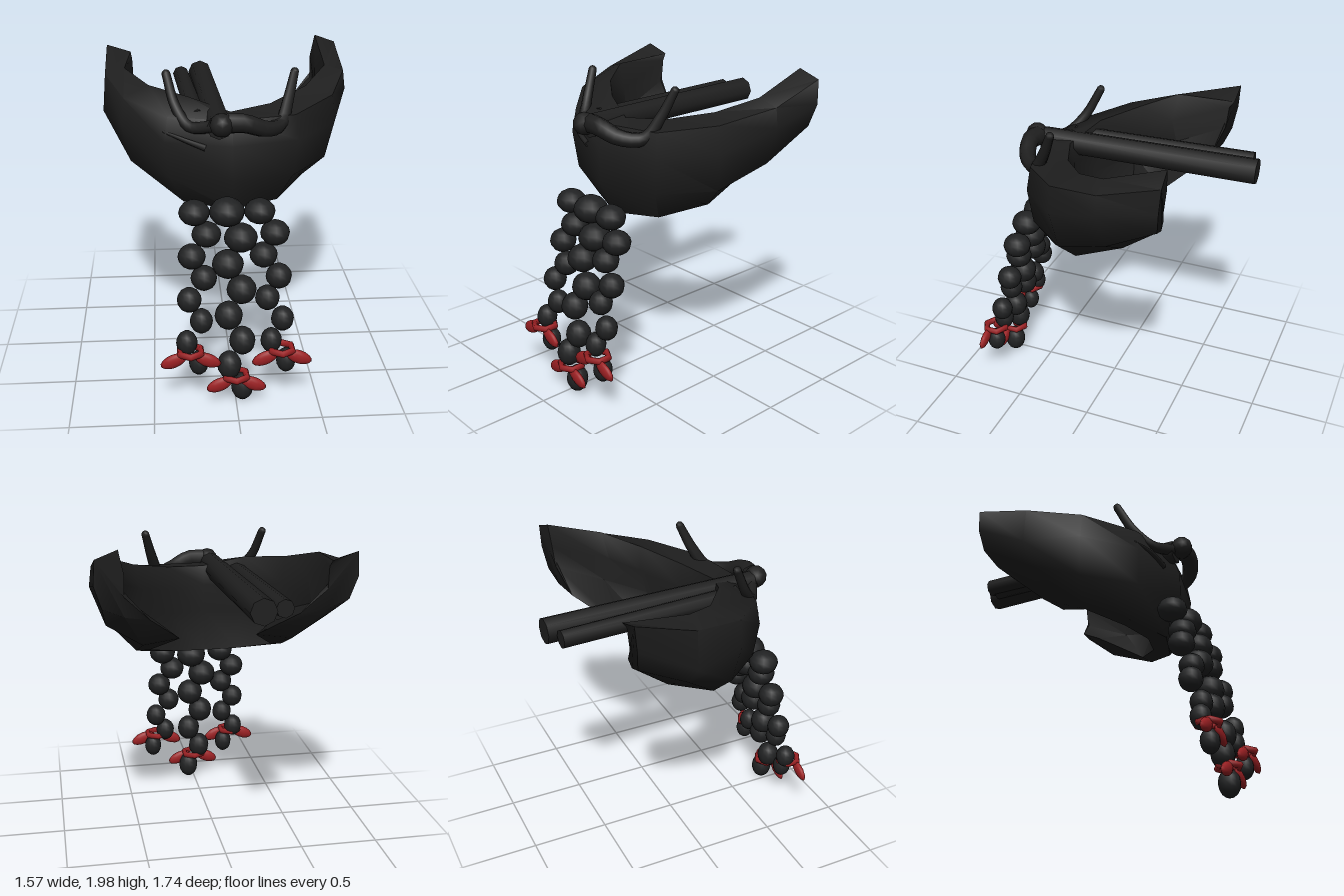
import * as THREE from 'three';
import { toCreasedNormals } from 'three/addons/utils/BufferGeometryUtils.js';

export function createModel() {
  const model = new THREE.Group();
  const cloth = new THREE.MeshStandardMaterial({ color: 0x1f1f1f, side: THREE.DoubleSide });
  cloth.name = 'black cloth';
  const beadMat = new THREE.MeshStandardMaterial({ color: 0x212223 });
  beadMat.name = 'charcoal beads';
  const red = new THREE.MeshStandardMaterial({ color: 0x9b2023 });
  red.name = 'red ribbon';
  const V = (p) => new THREE.Vector3(...p);

  function add(name, geometry, material, parent = model) {
    const mesh = new THREE.Mesh(geometry, material);
    mesh.name = name;
    parent.add(mesh);
    return mesh;
  }

  // Joins closed cross-sections into one capped skin
  function loft(rings) {
    const n = rings[0].length;
    const index = [];
    for (let i = 0; i < rings.length - 1; i++) {
      for (let j = 0; j < n; j++) {
        const k = (j + 1) % n;
        const a = i * n + j, b = i * n + k, c = b + n, d = a + n;
        index.push(a, b, c, a, c, d);
      }
    }
    const last = (rings.length - 1) * n;
    for (let j = 1; j < n - 1; j++) {
      index.push(0, j + 1, j, last, last + j, last + j + 1);
    }
    const g = new THREE.BufferGeometry();
    g.setAttribute('position', new THREE.Float32BufferAttribute(rings.flat(2), 3));
    g.setIndex(index);
    return toCreasedNormals(g, 1.15);
  }

  // Crescent wrap: each section runs outer top, down, under, up the inside groove and over the rolled rim
  const front = [[0, 1.71, 0.46], [0, 1.57, 0.51], [0, 1.35, 0.51], [0, 1.13, 0.4],
    [0, 1.15, 0.27], [0, 1.42, 0.3], [0, 1.6, 0.27], [0, 1.72, 0.3]];
  const arm = [
    [[0.38, 1.72, 0.39], [0.4, 1.57, 0.41], [0.37, 1.34, 0.39], [0.29, 1.15, 0.29],
      [0.2, 1.17, 0.21], [0.25, 1.42, 0.23], [0.22, 1.6, 0.17], [0.25, 1.74, 0.2]],
    [[0.64, 1.77, 0.14], [0.66, 1.6, 0.14], [0.61, 1.36, 0.11], [0.48, 1.23, 0.06],
      [0.4, 1.24, 0.03], [0.5, 1.46, 0.06], [0.45, 1.65, 0.0], [0.49, 1.8, 0.02]],
    [[0.765, 1.84, -0.2], [0.78, 1.72, -0.2], [0.69, 1.48, -0.22], [0.47, 1.35, -0.24],
      [0.24, 1.38, -0.23], [0.6, 1.56, -0.2], [0.58, 1.72, -0.17], [0.64, 1.88, -0.19]],
    [[0.765, 1.95, -0.57], [0.775, 1.8, -0.56], [0.73, 1.66, -0.54], [0.6, 1.6, -0.52],
      [0.45, 1.57, -0.48], [0.6, 1.72, -0.53], [0.6, 1.86, -0.545], [0.63, 2.0, -0.555]],
  ];
  const mirrored = arm.map((ring) => ring.map(([x, y, z]) => [-x, y, z])).reverse();
  // The right arm has a lower inner tip and a fuller side
  mirrored[0][7] = [-0.61, 1.9, -0.575];
  mirrored[1][1] = [-0.785, 1.6, -0.2];
  mirrored[2][7][1] = 1.82;
  mirrored[3][7][1] = 1.79;
  add('wrap', loft([...mirrored, front, ...arm]), cloth);

  // Tapered tubes for the knotted cord
  function taperedTube(name, points, r0, r1) {
    const curve = new THREE.CatmullRomCurve3(points.map(V));
    const segs = 16, sides = 8;
    const g = new THREE.TubeGeometry(curve, segs, 1, sides);
    const pos = g.attributes.position;
    for (let i = 0; i < pos.count; i++) {
      const t = Math.floor(i / (sides + 1)) / segs;
      const c = curve.getPointAt(t);
      const p = new THREE.Vector3().fromBufferAttribute(pos, i).sub(c);
      p.multiplyScalar(THREE.MathUtils.lerp(r0, r1, t)).add(c);
      pos.setXYZ(i, p.x, p.y, p.z);
    }
    add(name, g, cloth);
    const tip = add(name + 'Tip', new THREE.SphereGeometry(r1, 8, 6), cloth);
    tip.position.copy(V(points.at(-1)));
  }
  taperedTube('leftCord', [[-0.04, 1.72, 0.54], [0.06, 1.72, 0.55], [0.19, 1.67, 0.5],
    [0.29, 1.67, 0.4], [0.34, 1.79, 0.32], [0.385, 1.945, 0.25]], 0.062, 0.026);
  taperedTube('rightCord', [[-0.07, 1.71, 0.53], [-0.16, 1.68, 0.48], [-0.25, 1.67, 0.43],
    [-0.33, 1.77, 0.34], [-0.38, 1.945, 0.25]], 0.04, 0.026);
  taperedTube('fold', [[-0.16, 1.55, 0.47], [-0.27, 1.59, 0.45], [-0.4, 1.63, 0.39]], 0.02, 0.008);

  const knot = add('knot', new THREE.IcosahedronGeometry(0.072, 1), cloth);
  knot.position.set(-0.07, 1.715, 0.56);

  // Long ties running out behind
  function bar(name, from, to, rBack, rFront) {
    const a = V(from), b = V(to), dir = b.clone().sub(a);
    const g = toCreasedNormals(new THREE.CylinderGeometry(rFront, rBack, dir.length(), 8), 0.9);
    const mesh = add(name, g, cloth);
    mesh.position.copy(a).add(b).multiplyScalar(0.5);
    mesh.quaternion.setFromUnitVectors(new THREE.Vector3(0, 1, 0), dir.normalize());
  }
  bar('longTie', [-0.135, 1.685, -0.865], [-0.08, 1.69, 0.52], 0.08, 0.075);
  bar('shortTie', [-0.27, 1.685, -0.81], [-0.2, 1.69, 0.35], 0.055, 0.06);
  bar('innerTie', [-0.235, 1.66, -0.78], [-0.16, 1.67, 0.35], 0.045, 0.045);

  // Three zigzag bead strands, each ending in a bow
  const strandNames = ['rightStrand', 'middleStrand', 'leftStrand'];
  [-1, 0, 1].forEach((side, s) => {
    const strand = new THREE.Group();
    strand.name = strandNames[s];
    model.add(strand);
    const mid = side === 0;
    const step = mid ? 0.153 : 0.128;
    for (let i = 0; i < 8; i++) {
      const t = i / 7;
      const y = 1.18 - i * step;
      const zig = i % 2 ? 0.04 : -0.04;
      const x = side * (0.195 + t * 0.07) + zig;
      const big = mid ? 1.14 : 1;
      const rx = THREE.MathUtils.lerp(0.094, 0.06, t) * big;
      const ry = THREE.MathUtils.lerp(0.077, 0.078, t) * big;
      const bead = add('bead', new THREE.SphereGeometry(1, 12, 8), beadMat, strand);
      bead.scale.set(rx, ry, rx);
      bead.position.set(x, y, Math.min(0.76, 0.555 + (1.18 - y) * 0.24));
    }

    const bow = new THREE.Group();
    bow.name = 'bow';
    bow.position.set(side * 0.275, mid ? 0.195 : 0.37, 0.775);
    strand.add(bow);
    const band = add('bowBand', new THREE.TorusGeometry(0.072, 0.021, 6, 6), red, bow);
    band.rotation.set(Math.PI / 2, 0, Math.PI / 6);
    for (const m of [-1, 1]) {
      const loop = add('bowLoop', new THREE.SphereGeometry(1, 10, 8), red, bow);
      loop.scale.set(0.085, 0.043, 0.024);
      loop.position.set(m * 0.102, -0.045, 0.03);
      loop.rotation.z = -m * 0.42;
    }
  });
  return model;
}
